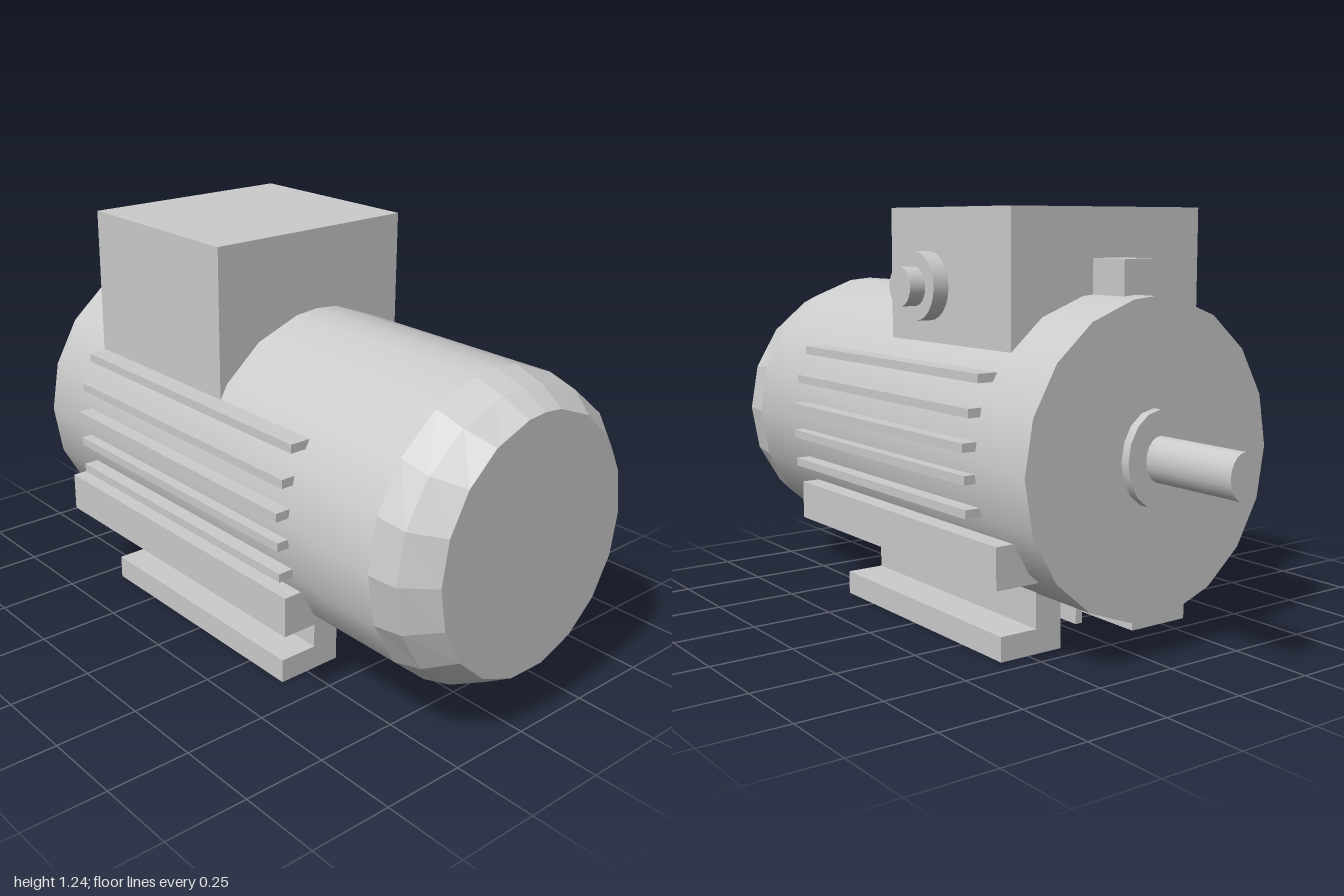
import * as THREE from 'three';

const CY = 0.556; // height of the motor axis

// 18-sided ring with one extra point at the crown
function ringPoints(rx, ry) {
  const degrees = [90];
  for (let i = 0; i < 18; i++) degrees.push(100 + i * 20);
  return degrees.map((d) => {
    const a = THREE.MathUtils.degToRad(d);
    return new THREE.Vector2(rx * Math.cos(a), ry * Math.sin(a));
  });
}

// Skin over rings [z, rx, ry], listed from front to back
function loft(rings) {
  const pos = [], idx = [], n = 19;
  for (const [z, rx, ry] of rings) {
    for (const p of ringPoints(rx, ry)) pos.push(p.x, p.y + CY, z);
  }
  for (let r = 0; r < rings.length - 1; r++) {
    for (let i = 0; i < n; i++) {
      const j = (i + 1) % n, a = r * n, b = a + n;
      idx.push(a + i, b + i, a + j, b + i, b + j, a + j);
    }
  }
  const g = new THREE.BufferGeometry();
  g.setAttribute('position', new THREE.Float32BufferAttribute(pos, 3));
  g.setIndex(idx);
  g.computeVertexNormals();
  return g;
}

export function createModel() {
  const group = new THREE.Group();
  const smooth = new THREE.MeshStandardMaterial({ color: 0xcccccc });
  const flat = new THREE.MeshStandardMaterial({ color: 0xcccccc, flatShading: true });

  const add = (name, geometry, material = flat) => {
    const mesh = new THREE.Mesh(geometry, material);
    mesh.name = name;
    group.add(mesh);
    return mesh;
  };
  // Box given by its limits on each axis
  const box = (name, x0, x1, y0, y1, z0, z1) => {
    const g = new THREE.BoxGeometry(x1 - x0, y1 - y0, z1 - z0);
    add(name, g).position.set((x0 + x1) / 2, (y0 + y1) / 2, (z0 + z1) / 2);
  };

  // Housing: smooth barrel, faceted front shoulder and flat ends
  const barrel = [0.835, 0.432, 0.443];
  add('barrel', loft([barrel, [-0.665, 0.432, 0.443]]), smooth);
  add('frontShoulder', loft([[1, 0.345, 0.37], [0.925, 0.425, 0.413], barrel]));
  add('frontCover', new THREE.ShapeGeometry(new THREE.Shape(ringPoints(0.345, 0.37))))
    .position.set(0, CY, 1);
  const back = add('backCover',
    new THREE.ShapeGeometry(new THREE.Shape(ringPoints(0.432, 0.443))));
  back.position.set(0, CY, -0.665);
  back.rotation.y = Math.PI;

  // Drive shaft and its collar
  const rod = (name, rx, ry, z0, z1, sides) => {
    const g = new THREE.CylinderGeometry(1, 1, z1 - z0, sides);
    g.rotateX(Math.PI / 2).scale(rx, ry, 1);
    add(name, g, smooth).position.set(0, 0.565, (z0 + z1) / 2);
  };
  rod('shaftCollar', 0.113, 0.135, -0.693, -0.64, 16);
  rod('shaft', 0.05, 0.064, -1, -0.68, 20);

  // Terminal box with cable gland and rear block
  box('terminalBox', -0.355, 0.32, 0.79, 1.235, -0.455, 0.145);
  box('rearBlock', -0.07, 0.04, 0.97, 1.095, -0.585, -0.45);
  for (const [name, r, x0, x1] of [
    ['glandFlange', 0.099, 0.31, 0.37],
    ['glandNozzle', 0.056, 0.36, 0.42],
  ]) {
    const g = new THREE.CylinderGeometry(r, r, x1 - x0, 24).rotateZ(Math.PI / 2);
    add(name, g, smooth).position.set((x0 + x1) / 2, 1.012, -0.06);
  }

  // Mirrored parts: cooling fins, side rails, feet and belly ribs
  const fins = [[0.787, 0.417], [0.697, 0.448], [0.607, 0.467], [0.52, 0.462], [0.428, 0.457]];
  for (const s of [1, -1]) {
    const side = s > 0 ? 'left' : 'right';
    const pair = (name, a, b, ...rest) =>
      box(side + name, Math.min(s * a, s * b), Math.max(s * a, s * b), ...rest);
    fins.forEach(([y, x], i) =>
      pair('Fin' + (i + 1), 0.35, x, y - 0.0125, y + 0.0125, -0.44, 0.525));
    pair('Rail', 0.27, 0.437, 0.242, 0.36, -0.55, 0.525);

    // L-shaped foot
    const profile = [[0.135, 0], [0.342, 0], [0.342, 0.072], [0.222, 0.072], [0.222, 0.2], [0.135, 0.2]]
      .map(([x, y]) => new THREE.Vector2(s * x, y));
    const foot = new THREE.ExtrudeGeometry(new THREE.Shape(profile),
      { depth: 0.84, bevelEnabled: false });
    add(side + 'Foot', foot).position.z = -0.44;

    pair('BellyRib', 0.057, 0.08, 0.06, 0.16, -0.44, 0.39);
  }
  return group;
}
